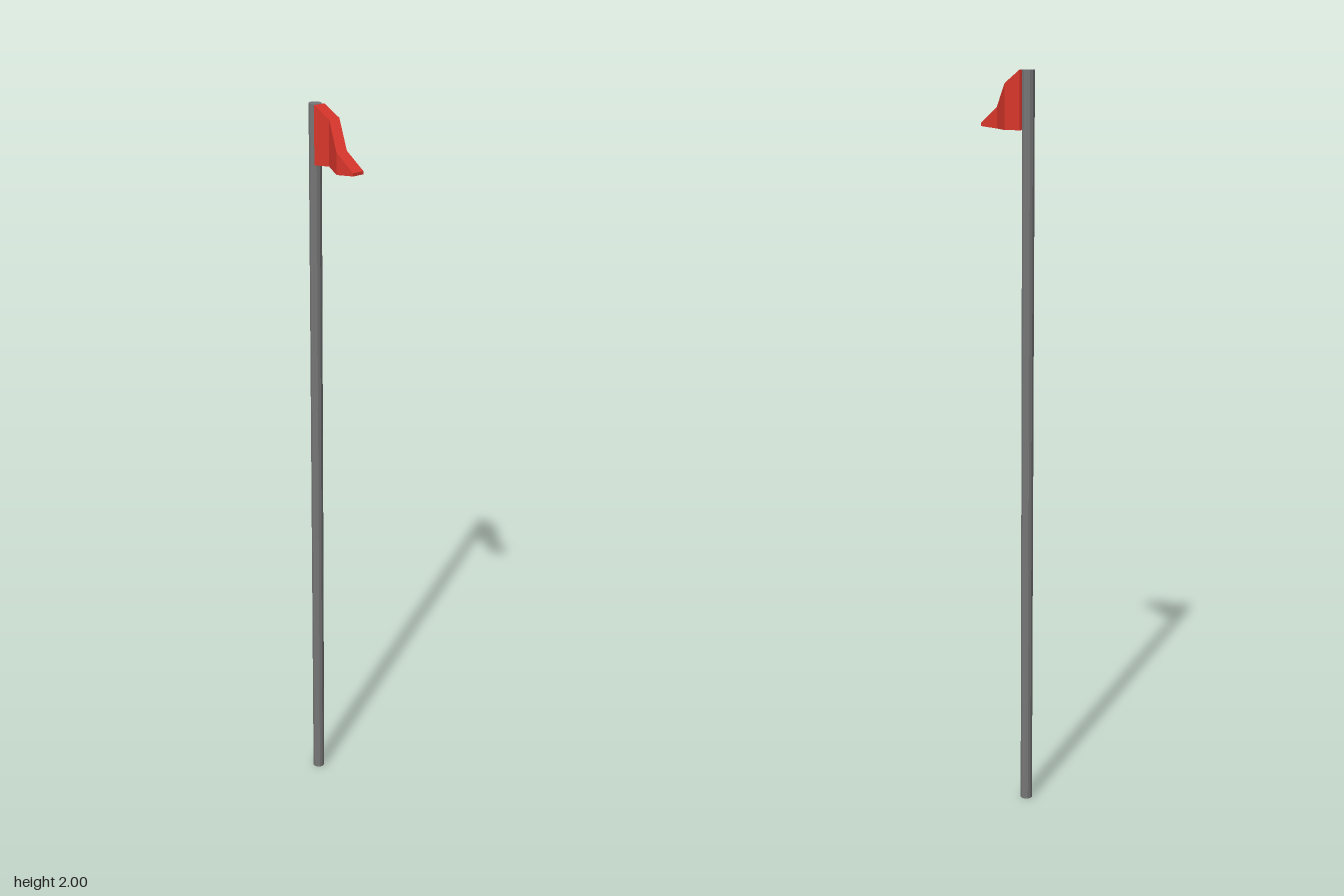
import * as THREE from 'three';

// Flag stations along its back edge: x, z, bottom y, top y
const STATIONS = [
  [-0.045, -0.05, 1.85, 2.0],
  [-0.006, -0.05, 1.85, 1.967],
  [0.035, 0.017, 1.85, 1.905],
  [0.083, 0.034, 1.855, 1.863],
];
// Shift from the back face to the front face
const DX = -0.018, DZ = 0.026;

function flagGeometry() {
  const loops = STATIONS.map(([x, z, lo, hi]) => [
    [x, lo, z], [x + DX, lo, z + DZ], [x + DX, hi, z + DZ], [x, hi, z],
  ]);
  const pos = [];
  const quad = (a, b, c, d) => pos.push(...a, ...b, ...c, ...a, ...c, ...d);
  for (let i = 0; i < loops.length - 1; i++) {
    for (let j = 0; j < 4; j++) {
      const k = (j + 1) % 4;
      quad(loops[i][j], loops[i + 1][j], loops[i + 1][k], loops[i][k]);
    }
  }
  // Closed ends
  quad(...loops[0]);
  quad(...[...loops[loops.length - 1]].reverse());
  const g = new THREE.BufferGeometry();
  g.setAttribute('position', new THREE.Float32BufferAttribute(pos, 3));
  g.computeVertexNormals();
  return g;
}

export function createModel() {
  const group = new THREE.Group();
  group.name = 'flagpole';

  // Slim faceted pole
  const pole = new THREE.Mesh(
    new THREE.CylinderGeometry(0.0165, 0.0165, 2, 12),
    new THREE.MeshStandardMaterial({ color: 0x777777, flatShading: true })
  );
  pole.name = 'pole';
  pole.position.set(-0.068, 1, -0.047);
  group.add(pole);

  // Folded, tapering pennant
  const flag = new THREE.Mesh(
    flagGeometry(),
    new THREE.MeshStandardMaterial({ color: 0xd9362b, flatShading: true })
  );
  flag.name = 'flag';
  group.add(flag);

  return group;
}
